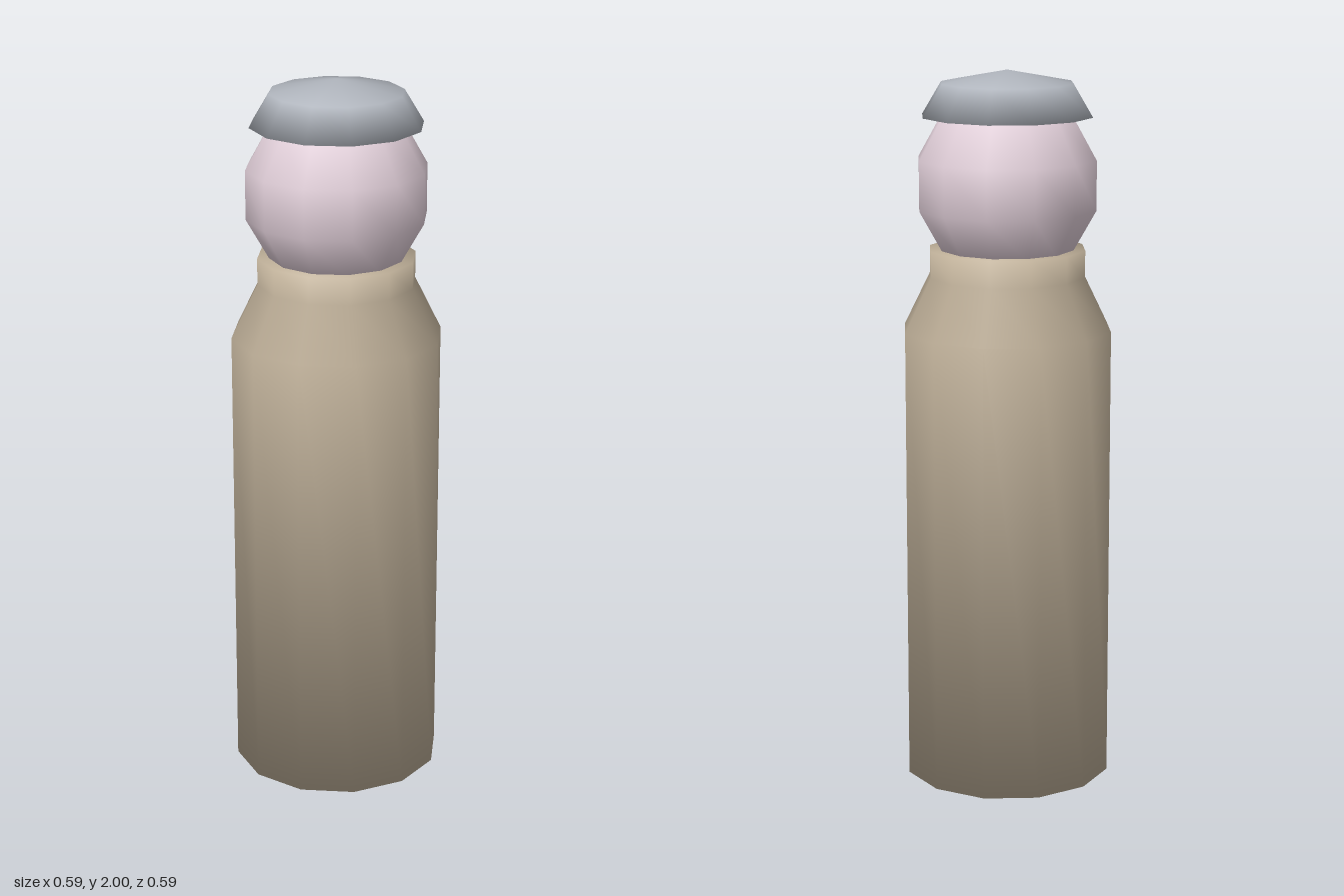
import * as THREE from 'three';

const SIDES = 12;

// Twelve-sided turned part; normals blend evenly between neighbouring bands
function turned(name, profile, material) {
  const points = profile.map(([r, y]) => new THREE.Vector2(r, y));
  const geometry = new THREE.LatheGeometry(points, SIDES);
  const bands = points.slice(1).map((p, j) => {
    const d = p.clone().sub(points[j]);
    return new THREE.Vector2(d.y, -d.x).normalize();
  });
  const normals = geometry.attributes.normal;
  points.forEach((p, j) => {
    const n = (bands[j - 1] || bands[j]).clone().add(bands[j] || bands[j - 1]).normalize();
    if (p.x === 0) n.set(0, Math.sign(n.y));
    for (let i = 0; i <= SIDES; i++) {
      const a = (i / SIDES) * Math.PI * 2;
      normals.setXYZ(i * points.length + j, n.x * Math.sin(a), n.y, n.x * Math.cos(a));
    }
  });
  const mesh = new THREE.Mesh(geometry, material);
  mesh.name = name;
  return mesh;
}

function flat(name, color) {
  const material = new THREE.MeshStandardMaterial({ color });
  material.name = name;
  return material;
}

export function createModel() {
  const model = new THREE.Group();
  model.name = 'pegFigure';

  // Straight body with sloping shoulders and a short collar
  model.add(turned('body', [
    [0, 0], [0.294, 0], [0.294, 1.285], [0.22, 1.435], [0.22, 1.51], [0, 1.51],
  ], flat('tan', 0xbfb099)));

  // Round head, its lower end sunk into the collar
  const head = [];
  for (let i = 0; i <= 7; i++) {
    const lat = i === 0 ? -90 : i === 7 ? 90 : -75 + (i - 0.5) * 25 - 0;
    head.push([lat, lat]);
  }
  const latitudes = [-90, -75, -45, -15, 15, 45, 75, 90];
  model.add(turned('head', latitudes.map((deg) => {
    const a = THREE.MathUtils.degToRad(deg);
    const r = Math.abs(deg) === 90 ? 0 : 0.259 * Math.cos(a);
    return [r, 1.69 + 0.265 * Math.sin(a)];
  }), flat('palePink', 0xdfcdd7)));

  // Shallow cap with a flared edge
  model.add(turned('cap', [
    [0, 1.875], [0.239, 1.875], [0.185, 1.965], [0, 2],
  ], flat('blueGrey', 0xb0b5bd)));

  return model;
}
